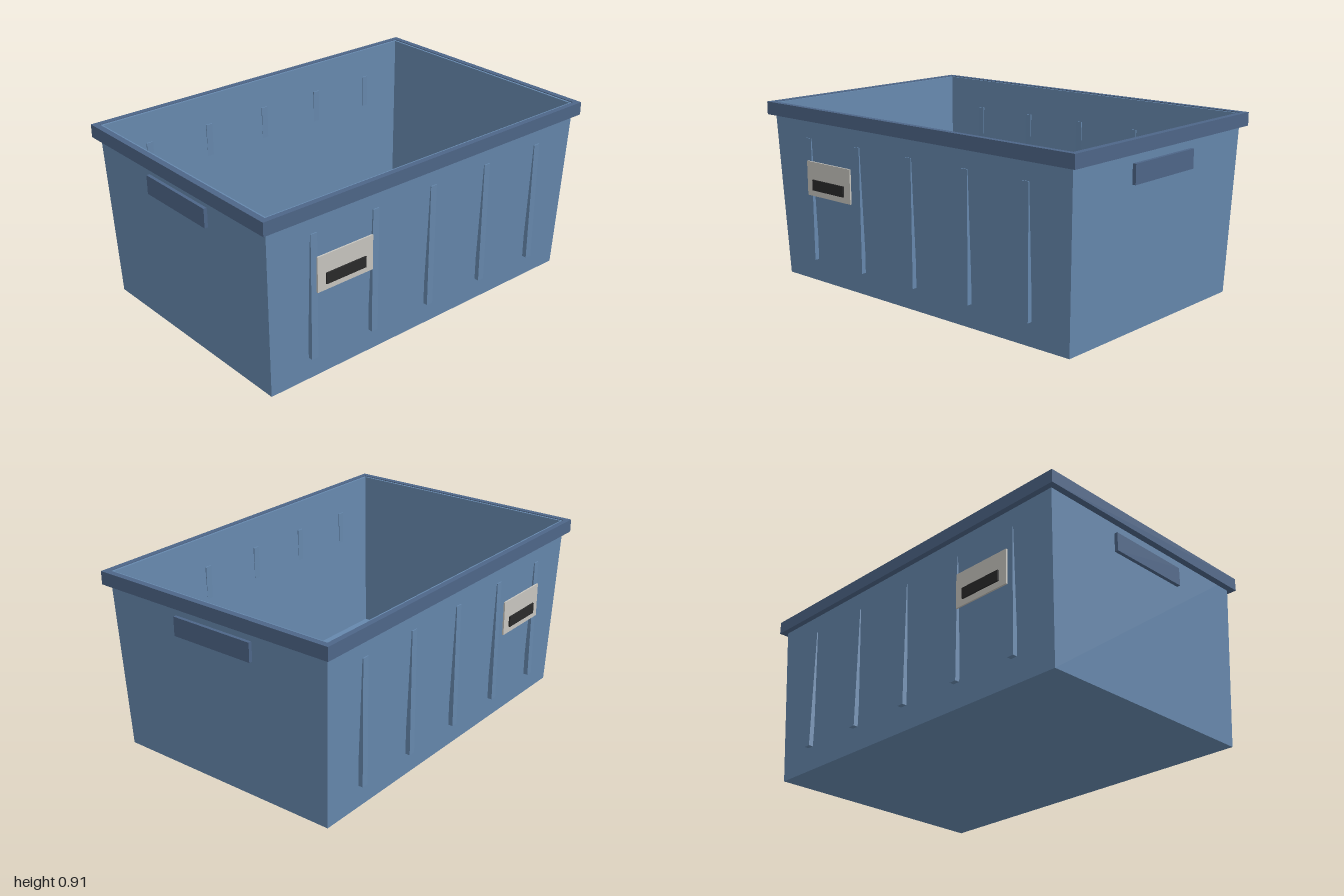
import * as THREE from 'three';

const flat = (name, color) => {
  const m = new THREE.MeshStandardMaterial({ color });
  m.name = name;
  return m;
};

// Skin over a series of rectangles [halfX, y, halfZ]; a zero-size one closes an end
function loftRects(rects) {
  const pos = [];
  const corners = ([x, y, z]) => [[x, y, z], [x, y, -z], [-x, y, -z], [-x, y, z]];
  for (let i = 0; i < rects.length - 1; i++) {
    const lo = corners(rects[i]), hi = corners(rects[i + 1]);
    for (let k = 0; k < 4; k++) {
      const n = (k + 1) % 4;
      pos.push(...lo[k], ...lo[n], ...hi[n], ...lo[k], ...hi[n], ...hi[k]);
    }
  }
  const geo = new THREE.BufferGeometry();
  geo.setAttribute('position', new THREE.Float32BufferAttribute(pos, 3));
  geo.computeVertexNormals();
  return geo;
}

export function createModel() {
  const root = new THREE.Group();
  root.name = 'storageCrate';
  const blue = flat('crate blue', 0x6688ad);
  const darkBlue = flat('rim blue', 0x4e6688);
  const grey = flat('label grey', 0xc8c6c0);
  const black = flat('slot black', 0x2a2a2a);

  const add = (name, geo, mat, x = 0, y = 0, z = 0) => {
    const mesh = new THREE.Mesh(geo, mat);
    mesh.name = name;
    mesh.position.set(x, y, z);
    root.add(mesh);
  };
  const box = (name, mat, w, h, d, x, y, z) =>
    add(name, new THREE.BoxGeometry(w, h, d), mat, x, y, z);

  // Tapered open tub: underside, outer walls, lip, inner walls, floor
  add('tub', loftRects([
    [0, 0, 0], [0.938, 0, 0.614], [0.97, 0.905, 0.648],
    [0.957, 0.905, 0.635], [0.925, 0.03, 0.603], [0, 0.03, 0],
  ]), blue);

  // Square-section rim around the top
  add('rim', loftRects([
    [0.966, 0.843, 0.644], [1, 0.843, 0.675], [1, 0.909, 0.675],
    [0.969, 0.909, 0.647], [0.966, 0.843, 0.644],
  ]), darkBlue);

  // Upright ribs, label plate and slot on both long sides
  for (const s of [1, -1]) {
    for (let i = -2; i <= 2; i++) {
      box('rib', blue, 0.036, 0.63, 0.024, i * 0.357, 0.435, s * 0.635);
    }
    box('labelPlate', grey, 0.32, 0.175, 0.008, -0.55, 0.552, s * 0.661);
    box('labelSlot', black, 0.23, 0.054, 0.008, -0.55, 0.522, s * 0.669);
  }

  // Grips on the short sides
  for (const s of [1, -1]) {
    box('grip', darkBlue, 0.018, 0.095, 0.454, s * 0.974, 0.747, 0);
  }
  return root;
}
